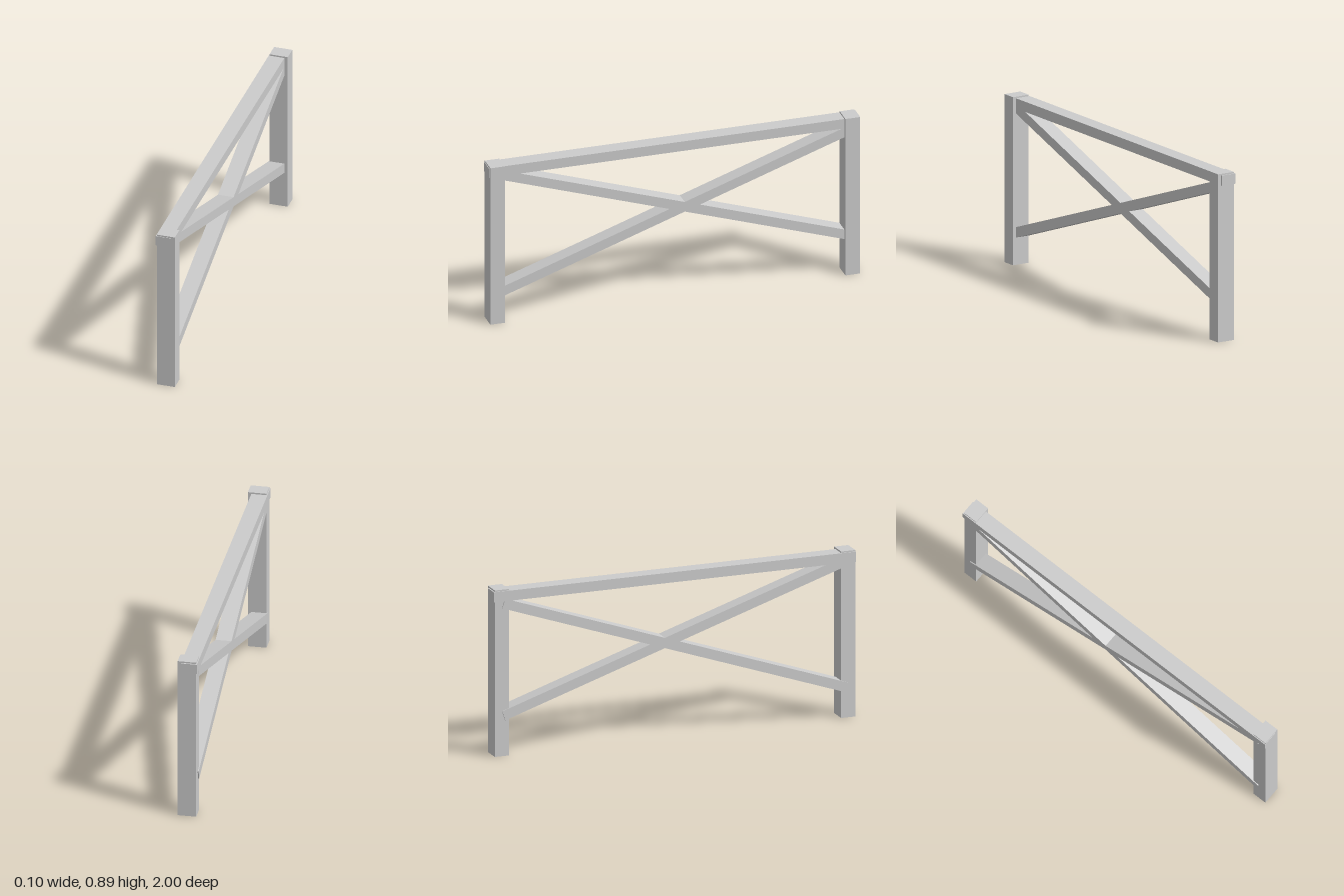
import * as THREE from 'three';

export function createModel() {
  const group = new THREE.Group();
  const material = new THREE.MeshStandardMaterial({ color: 0xcccccc, flatShading: true });

  // square timber, optionally tilted in the plane of the frame
  function timber(name, size, position, tilt = 0) {
    const mesh = new THREE.Mesh(new THREE.BoxGeometry(...size), material);
    mesh.name = name;
    mesh.position.set(...position);
    mesh.rotation.x = tilt;
    group.add(mesh);
  }

  // upright posts
  timber('frontPost', [0.097, 0.89, 0.078], [0.0015, 0.445, 0.958]);
  timber('backPost', [0.097, 0.89, 0.078], [0.0015, 0.445, -0.954]);

  // rail and braces share one thickness and stand slightly proud of the posts at -x
  const width = 0.084, x = -0.01, depth = 0.052;
  timber('topRail', [width, 0.054, 2], [x, 0.855, 0]);

  // diagonal braces, given by the heights of their centre line at both ends
  const zEnd = 0.945;
  function brace(name, yFront, yBack) {
    const rise = yFront - yBack;
    timber(name, [width, depth, Math.hypot(rise, 2 * zEnd)],
      [x, (yFront + yBack) / 2, 0], -Math.atan2(rise, 2 * zEnd));
  }
  brace('braceFallingToBack', 0.838, 0.216);
  brace('braceRisingToBack', 0.163, 0.816);

  return group;
}
